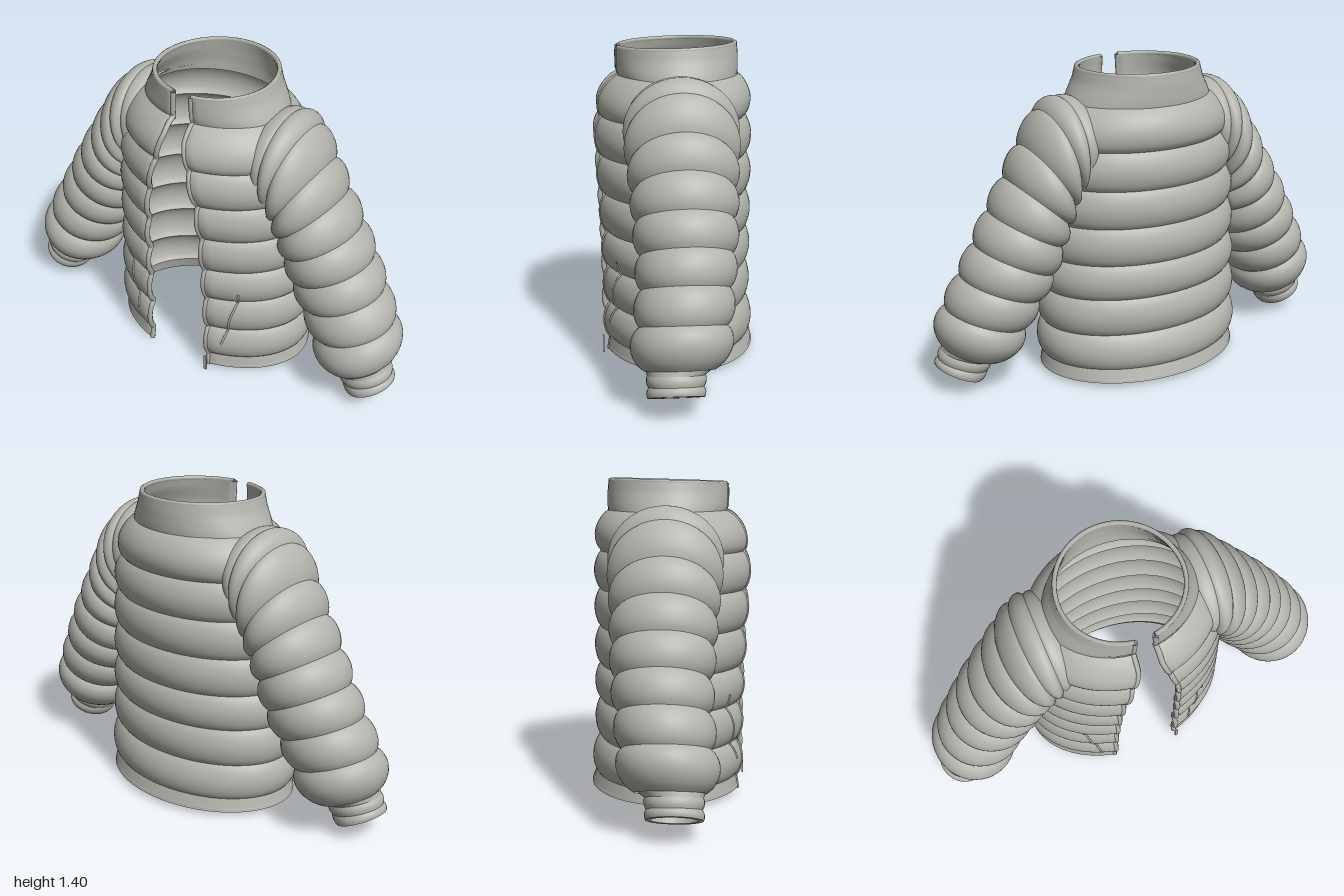
import * as THREE from 'three';

const fabric = new THREE.MeshStandardMaterial({ color: 0xb3b4ad, side: THREE.DoubleSide });
fabric.name = 'grey fabric';

// Piecewise linear lookup in rows of [key, ...values]
function lookup(rows, k) {
  let i = 0;
  while (i < rows.length - 2 && k > rows[i + 1][0]) i++;
  const p = rows[i], q = rows[i + 1];
  const t = THREE.MathUtils.clamp((k - p[0]) / (q[0] - p[0]), 0, 1);
  return { i, t, v: p.slice(1).map((a, j) => a + (q[j + 1] - a) * t) };
}
const puff = t => Math.pow(Math.max(0, Math.sin(Math.PI * t)), 0.7);

// Closed rings stacked into a smooth skin; fn(ring, around) gives a point
function skin(rings, around, fn) {
  const pos = [], idx = [];
  for (let r = 0; r <= rings; r++)
    for (let s = 0; s < around; s++) pos.push(...fn(r / rings, s / around, s));
  for (let r = 0; r < rings; r++)
    for (let s = 0; s < around; s++) {
      const a = r * around + s, b = r * around + (s + 1) % around;
      idx.push(a, b, a + around, b, b + around, a + around);
    }
  const g = new THREE.BufferGeometry();
  g.setAttribute('position', new THREE.Float32BufferAttribute(pos, 3));
  g.setIndex(idx);
  g.computeVertexNormals();
  return g;
}

// Body seams: height, half width, front depth, back depth, puff of the panel above
const body = [
  [0.02, 0.485, 0.335, 0.362, 0], [0.08, 0.472, 0.325, 0.34, 0.028],
  [0.24, 0.468, 0.32, 0.318, 0.028], [0.41, 0.462, 0.325, 0.318, 0.028],
  [0.57, 0.452, 0.33, 0.318, 0.028], [0.74, 0.445, 0.338, 0.318, 0.028],
  [0.91, 0.435, 0.345, 0.32, 0.03], [1.08, 0.415, 0.338, 0.315, 0.042],
  [1.26, 0.33, 0.26, 0.285, 0]];
const collar = [
  [1.235, 0.345, 0.25, 0.28], [1.28, 0.325, 0.262, 0.285],
  [1.34, 0.292, 0.264, 0.285], [1.395, 0.275, 0.262, 0.28]];
// Half width of the front opening
const opening = [
  [0.02, 0.165], [0.4, 0.158], [0.74, 0.145], [0.91, 0.128],
  [1.07, 0.09], [1.2, 0.055], [1.4, 0.045]];

function bodySize(y) {
  const { i, t, v } = lookup(body, y);
  const p = body[i][4] * puff(t);
  return [v[0] + p, v[1] + p, v[2] + p];
}
const collarSize = y => lookup(collar, y).v;
const gapAngle = (y, a) => Math.asin(lookup(opening, y).v[0] / a);

// Angle 0 is the front centre
function wrapPoint(size, y, angle, inset = 0) {
  const [a, f, b] = size(y), c = Math.cos(angle);
  return [(a - inset) * Math.sin(angle), y, c * ((c > 0 ? f : b) - inset)];
}

// Band of cloth around the body with a lining and a front opening
function wrapBand(size, y0, y1, rings, tilt = 0) {
  const half = 56;
  return skin(rings, half * 2, (v, u, s) => {
    const y = y0 + (y1 - y0) * v, g = gapAngle(y, size(y)[0]);
    const inner = s >= half, k = (inner ? half * 2 - 1 - s : s) / (half - 1);
    const p = wrapPoint(size, y, g + (2 * Math.PI - 2 * g) * k, inner ? 0.02 : 0);
    p[1] -= tilt * v * p[2];
    return p;
  });
}

// Sleeve seams: outer x, y, inner x, y, depth radius, z centre, puff of the panel below
const sleeve = [
  [0.30, 1.27, 0.32, 0.92, 0.215, 0, 0.01], [0.375, 1.285, 0.34, 0.88, 0.225, 0, 0.022],
  [0.46, 1.235, 0.36, 0.86, 0.225, 0, 0.025], [0.55, 1.09, 0.37, 0.80, 0.215, 0, 0.025],
  [0.63, 0.95, 0.39, 0.73, 0.205, 0, 0.025], [0.715, 0.81, 0.42, 0.64, 0.20, 0, 0.025],
  [0.79, 0.675, 0.46, 0.515, 0.19, 0, 0.025], [0.86, 0.54, 0.525, 0.40, 0.183, 0.01, 0.026],
  [0.93, 0.40, 0.595, 0.275, 0.18, 0.025, 0.045], [0.95, 0.22, 0.70, 0.13, 0.145, 0.045, 0]];
const cuff = [
  [0.945, 0.23, 0.70, 0.14, 0.14, 0.045, 0], [0.955, 0.20, 0.735, 0.125, 0.118, 0.06, 0.006],
  [0.97, 0.16, 0.755, 0.08, 0.112, 0.062, 0.006], [0.985, 0.13, 0.785, 0.035, 0.115, 0.064, 0],
  [0.965, 0.12, 0.805, 0.045, 0.095, 0.064, 0], [0.92, 0.22, 0.75, 0.14, 0.095, 0.06, 0]];

function sleevePanel(p, q, side, rings) {
  return skin(rings, 40, (t, u) => {
    const [ox, oy, ix, iy, rz, cz] = p.map((a, j) => a + (q[j] - a) * t);
    const extra = p[6] * puff(t), len = Math.hypot(ox - ix, oy - iy);
    const k = Math.cos(u * 2 * Math.PI) * (0.5 + extra / len);
    let x = (ox + ix) / 2 + (ox - ix) * k;
    const y = (oy + iy) / 2 + (oy - iy) * k;
    let z = cz + Math.sin(u * 2 * Math.PI) * (rz + extra);
    // Hidden part of the armhole rests inside the body wall
    const [a, f, b] = bodySize(y);
    const d = Math.hypot(x / (a - 0.01), z / ((z > 0 ? f : b) - 0.01));
    if (d < 1 && y < 1.24) { x /= d; z /= d; }
    return [x * side, y, z];
  });
}

export function createModel() {
  const model = new THREE.Group();
  model.name = 'pufferJacket';
  const add = (name, geometry) => {
    const mesh = new THREE.Mesh(geometry, fabric);
    mesh.name = name;
    model.add(mesh);
  };
  const cord = (name, pts, radius) => {
    const curve = new THREE.CatmullRomCurve3(pts.map(p => new THREE.Vector3(...p)));
    add(name, new THREE.TubeGeometry(curve, pts.length * 2, radius, 6));
  };
  const steps = (n, fn) => Array.from({ length: n + 1 }, (_, i) => fn(i / n));

  // Quilted body and hem
  for (let i = 0; i < body.length - 1; i++)
    add(i ? 'bodyPanel' : 'hem', wrapBand(bodySize, body[i][0], body[i + 1][0], i ? 12 : 2));

  // Standing collar, a little higher at the back
  add('collar', wrapBand(collarSize, 1.235, 1.385, 10, 0.03));

  // Rolled rims of hem and collar
  const rim = (name, size, y, tilt) => {
    const g = gapAngle(y, size(y)[0]);
    cord(name, steps(48, t => {
      const p = wrapPoint(size, y, g + (2 * Math.PI - 2 * g) * t, 0.01);
      p[1] -= tilt * p[2];
      return p;
    }), 0.011);
  };
  rim('hemRim', bodySize, 0.028, 0);
  rim('collarRim', collarSize, 1.385, 0.03);

  for (const side of [1, -1]) {
    const label = side > 0 ? 'left' : 'right';

    // Sleeve and cuff
    for (let i = 0; i < sleeve.length - 1; i++)
      add(label + 'SleevePanel', sleevePanel(sleeve[i], sleeve[i + 1], side, 10));
    for (let i = 0; i < cuff.length - 1; i++)
      add(label + 'Cuff', sleevePanel(cuff[i], cuff[i + 1], side, 4));

    // Zip edging along the opening
    const edge = (size, y) => {
      const p = wrapPoint(size, y, side * gapAngle(y, size(y)[0]), 0.008);
      return p;
    };
    cord(label + 'ZipEdge', [
      ...steps(60, t => edge(bodySize, 0.015 + 1.225 * t)),
      ...steps(6, t => edge(collarSize, 1.26 + 0.118 * t))], 0.013);

    // Pocket seam lying on the front panels
    cord(label + 'PocketSeam', steps(24, t => {
      const y = 0.17 + 0.3 * t, x = 0.235 + 0.07 * t;
      return wrapPoint(bodySize, y, side * Math.asin(x / bodySize(y)[0]));
    }), 0.005);
  }

  // Zip stop hanging below the hem
  const stop = new THREE.BoxGeometry(0.014, 0.08, 0.008);
  stop.translate(0.165, 0.04, 0.335);
  add('zipStop', stop);

  return model;
}
